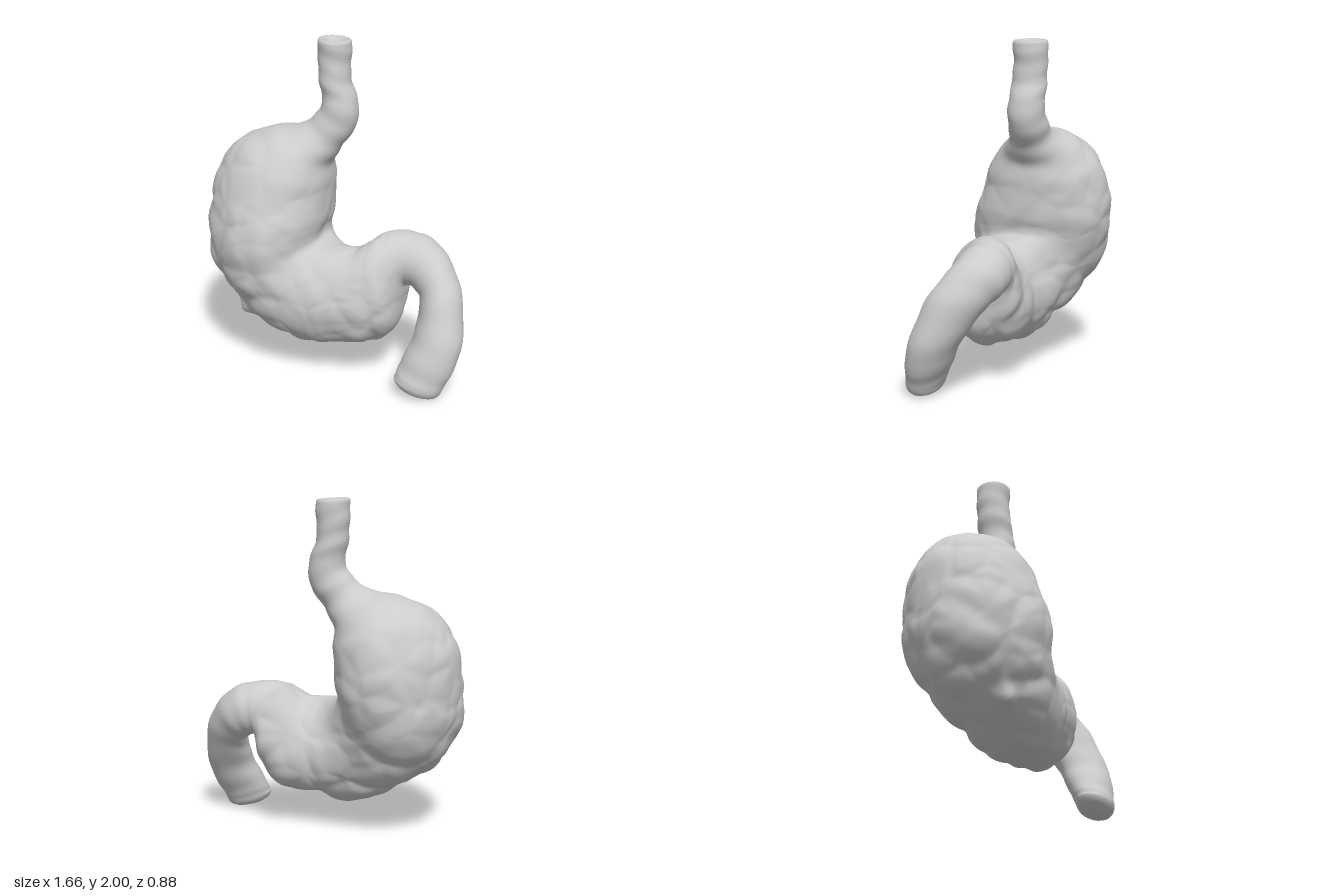
import * as THREE from 'three';

// Each station: outer-curve x, y | inner-curve x, y | depth centre z, half depth
const gulletAndBody = [
  [-0.155, 1.985, 0.042, 1.975, -0.065, 0.104],
  [-0.157, 1.86, 0.038, 1.86, -0.065, 0.102],
  [-0.145, 1.74, 0.042, 1.74, -0.06, 0.105],
  [-0.128, 1.62, 0.088, 1.62, -0.055, 0.108],
  [-0.18, 1.53, 0.07, 1.47, -0.05, 0.115],
  [-0.29, 1.465, -0.01, 1.35, -0.04, 0.145],
  [-0.46, 1.435, -0.07, 1.24, -0.035, 0.25],
  [-0.66, 1.35, -0.065, 1.14, -0.035, 0.34],
  [-0.79, 1.17, -0.07, 1.03, -0.025, 0.39],
  [-0.825, 0.95, -0.075, 0.92, -0.005, 0.43],
  [-0.82, 0.7, -0.09, 0.85, 0.015, 0.43],
  [-0.72, 0.49, -0.08, 0.815, 0.03, 0.4],
  [-0.52, 0.32, -0.04, 0.8, 0.065, 0.35],
  [-0.3, 0.205, 0.02, 0.79, 0.1, 0.3]
];
const outletAndBowel = [
  [-0.12, 0.16, 0.08, 0.785, 0.11, 0.275],
  [0.07, 0.195, 0.15, 0.79, 0.1, 0.26],
  [0.27, 0.215, 0.21, 0.83, 0.085, 0.25],
  [0.4, 0.34, 0.26, 0.865, 0.065, 0.235],
  [0.425, 0.49, 0.32, 0.885, 0.025, 0.195],
  [0.43, 0.555, 0.41, 0.885, -0.01, 0.165],
  [0.475, 0.55, 0.53, 0.86, -0.02, 0.16],
  [0.525, 0.51, 0.67, 0.765, 0.02, 0.16],
  [0.54, 0.43, 0.78, 0.59, 0.105, 0.16],
  [0.525, 0.3, 0.83, 0.34, 0.2, 0.145],
  [0.475, 0.17, 0.79, 0.15, 0.265, 0.125],
  [0.455, 0.1, 0.735, 0.04, 0.295, 0.11]
];
const stations = [...gulletAndBody, ...outletAndBowel];

const curveOf = pick => new THREE.CatmullRomCurve3(
  stations.map(s => new THREE.Vector3(...pick(s))), false, 'catmullrom', 0.5);
const outer = curveOf(s => [s[0], s[1], s[4]]);
const inner = curveOf(s => [s[2], s[3], s[4]]);
const depth = curveOf(s => [s[5], 0, 0]);
const { smoothstep, lerp } = THREE.MathUtils;

// Repeatable scatter value for a grid cell
function hash(x, y, z, k) {
  const s = Math.sin(x * 127.1 + y * 311.7 + z * 74.7 + k * 53.3) * 43758.5453;
  return s - Math.floor(s);
}

// Soft pillows with creases where two scattered cells meet
function lobes(p, size) {
  const x = p.x / size, y = p.y / size, z = p.z / size;
  let near = 9, next = 9;
  for (let i = -1; i <= 1; i++) for (let j = -1; j <= 1; j++) for (let k = -1; k <= 1; k++) {
    const cx = Math.floor(x) + i, cy = Math.floor(y) + j, cz = Math.floor(z) + k;
    const d = Math.hypot(cx + hash(cx, cy, cz, 1) - x, cy + hash(cx, cy, cz, 2) - y, cz + hash(cx, cy, cz, 3) - z);
    if (d < near) { next = near; near = d; } else if (d < next) next = d;
  }
  return smoothstep(next - near, -0.2, 0.5) - 0.72;
}

const nubCentre = new THREE.Vector3(-0.5, 0.375, 0.235);

function createOrganGeometry() {
  const ROWS = 270, SIDES = 128;
  // Rows: [curve parameter, ring scale, vertical shift]; the gullet dips in, the bowel end is domed
  const rows = [[0, 0, -0.05], [0, 0.2, -0.045], [0, 0.4, -0.02], [0, 0.6, 0.002],
    [0, 0.78, 0.013], [0, 0.92, 0.01]];
  for (let i = 0; i <= ROWS; i++) rows.push([i / ROWS, 1, 0]);
  rows.push([1, 0.95, -0.018], [1, 0.85, -0.034], [1, 0.6, -0.052], [1, 0.3, -0.06], [1, 0, -0.062]);

  const positions = [], index = [];
  const o = new THREE.Vector3(), n = new THREE.Vector3(), d = new THREE.Vector3();
  rows.forEach(([t, scale, shift], i) => {
    outer.getPoint(t, o);
    inner.getPoint(t, n);
    depth.getPoint(t, d);
    const centre = o.clone().add(n).multiplyScalar(0.5);
    const half = o.clone().sub(n).multiplyScalar(0.5);
    // Wrinkles are strong on the body and faint on both tubes
    const onBody = smoothstep(t, 0.2, 0.32) * (1 - smoothstep(t, 0.68, 0.77));
    // Egg-shaped section: fuller inside on the upper body, fuller outside along the base
    const egg = onBody * lerp(0.15, -0.12, smoothstep(t, 0.38, 0.53));
    for (let j = 0; j < SIDES; j++) {
      const a = j / SIDES * Math.PI * 2;
      const offset = half.clone().multiplyScalar(Math.cos(a));
      offset.z += d.x * Math.sin(a) * (1 - egg * Math.cos(a));
      const p = centre.clone().add(offset);
      const towardOuter = 0.7 + 0.3 * Math.cos(a);
      const nub = 0.05 * Math.exp(-p.distanceToSquared(nubCentre) / 0.0022);
      const swell = onBody * towardOuter * (0.028 * lobes(p, 0.36) + 0.012 * lobes(p, 0.21)) + nub
        + 0.002 * (1 - onBody) * (Math.sin(t * 95 + Math.sin(a)) + Math.sin(t * 161 + 2 * Math.cos(a)));
      p.addScaledVector(offset.clone().normalize(), swell);
      p.sub(centre).multiplyScalar(scale).add(centre);
      p.y += shift;
      positions.push(p.x, p.y, p.z);
      if (i < rows.length - 1) {
        const k = i * SIDES + j, r = i * SIDES + (j + 1) % SIDES;
        index.push(k, k + SIDES, r, r, k + SIDES, r + SIDES);
      }
    }
  });
  const geometry = new THREE.BufferGeometry();
  geometry.setAttribute('position', new THREE.Float32BufferAttribute(positions, 3));
  geometry.setIndex(index);
  geometry.computeVertexNormals();
  return geometry;
}

export function createModel() {
  const group = new THREE.Group();
  group.name = 'stomach';

  // Gullet, body, outlet and bowel as one continuous skin
  const material = new THREE.MeshStandardMaterial({ color: 0xcccccc });
  const wall = new THREE.Mesh(createOrganGeometry(), material);
  wall.name = 'stomachWall';
  group.add(wall);
  return group;
}
